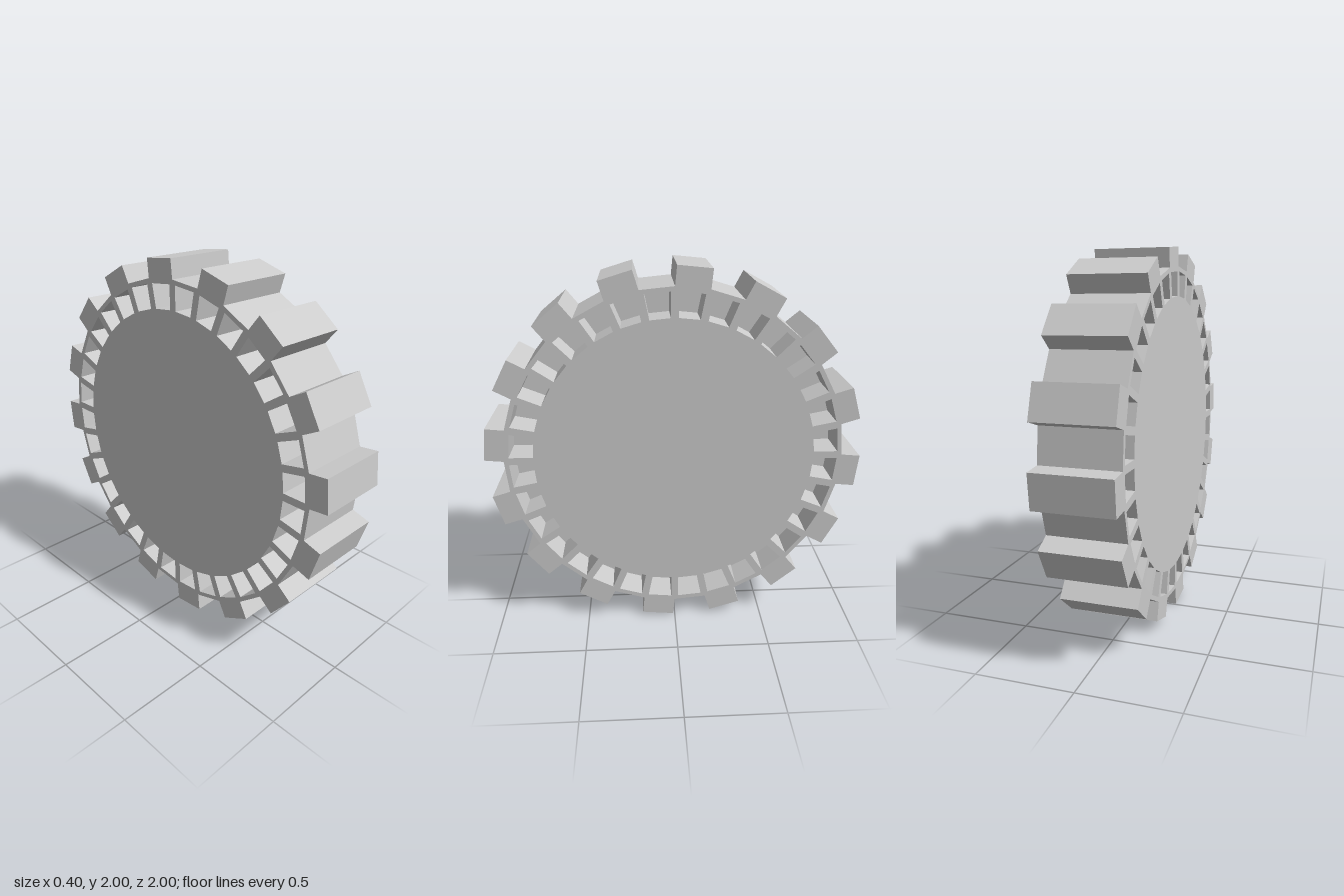
import * as THREE from 'three';

const SIDES = 32;          // rim facets; every other facet carries a tooth
const STEP = (Math.PI * 2) / SIDES;
const ROOT = 0.9;          // corner radius of the rim
const TOOTH = 0.1;         // tooth height
const WIDTH = 0.4;         // overall thickness along x
const WEB = 0.04;          // solid plate between the two sets of pockets

// Point at a distance r along angle a (clockwise from the top), shifted t sideways
const polar = (r, a, t = 0) =>
  new THREE.Vector2(r * Math.sin(a) + t * Math.cos(a), r * Math.cos(a) - t * Math.sin(a));

// Toothed outline: alternate facets are pushed straight out along their normals
function gearShape() {
  const pts = [];
  for (let i = 0; i < SIDES; i += 2) {
    const a = polar(ROOT, i * STEP);
    const b = polar(ROOT, (i + 1) * STEP);
    const out = polar(TOOTH, (i + 0.5) * STEP);
    pts.push(a, a.clone().add(out), b.clone().add(out), b);
  }
  return new THREE.Shape(pts);
}

// One tapered pocket per facet, wound against the outline so its walls face inward
function addPockets(shape) {
  const outer = 0.872, inner = 0.745, rib = 0.02;
  const half = (r) => r * Math.tan(STEP / 2) - rib;
  for (let i = 0; i < SIDES; i++) {
    const a = (i + 0.5) * STEP;
    shape.holes.push(new THREE.Path([
      polar(inner, a, -half(inner)), polar(inner, a, half(inner)),
      polar(outer, a, half(outer)), polar(outer, a, -half(outer)),
    ]));
  }
  return shape;
}

export function createModel() {
  const group = new THREE.Group();
  group.name = 'gear';
  const material = new THREE.MeshStandardMaterial({ color: 0xcccccc, flatShading: true });

  // Extrudes a profile from x0 along the axle direction (+x)
  const slab = (name, shape, x0, depth) => {
    const geo = new THREE.ExtrudeGeometry(shape, { depth, bevelEnabled: false });
    geo.translate(0, 0, x0).rotateY(Math.PI / 2).translate(0, 1, 0);
    const mesh = new THREE.Mesh(geo, material);
    mesh.name = name;
    group.add(mesh);
  };

  // Solid middle web forms the pocket floors; a pocketed half sits on each side
  const depth = (WIDTH - WEB) / 2;
  slab('middleWeb', gearShape(), -WEB / 2, WEB);
  slab('leftHalf', addPockets(gearShape()), WEB / 2, depth);
  slab('rightHalf', addPockets(gearShape()), -WIDTH / 2, depth);
  return group;
}
